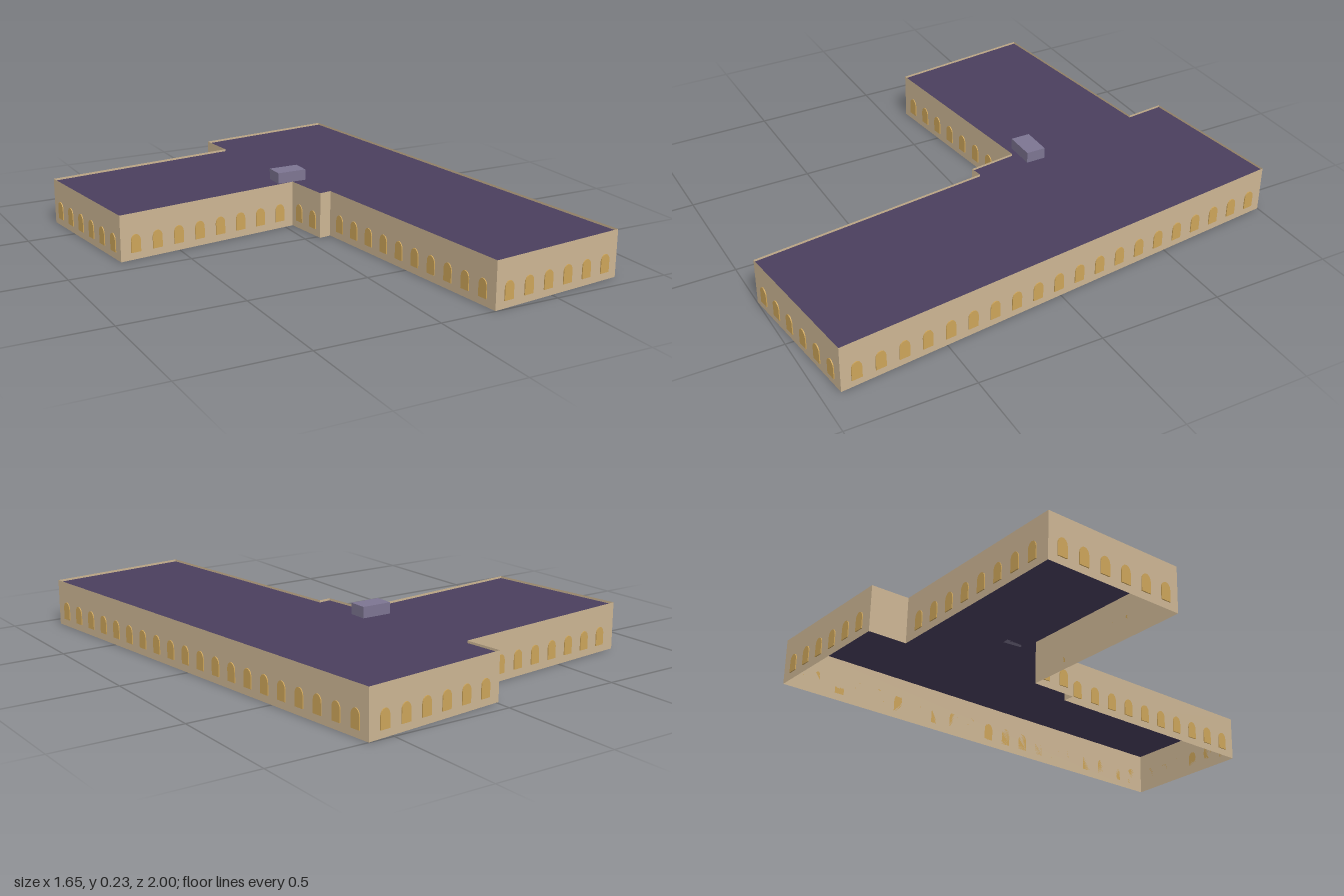
import * as THREE from 'three';

const WALL_H = 0.19, ROOF_Y = 0.181, PITCH = 0.0955;

// Footprint corners as [x, z], running clockwise seen from above
const FOOTPRINT = [
  [-0.011, -0.931], [0.603, -1.0], [0.823, 0.928], [0.228, 0.998], [0.111, 0.009],
  [0.061, 0.016], [0.037, -0.18], [-0.757, -0.088], [-0.823, -0.683], [0.004, -0.772],
];

function material(name, color, side = THREE.FrontSide) {
  const m = new THREE.MeshStandardMaterial({ color, side });
  m.name = name;
  return m;
}

// Arched window plate, built from the sill upwards
function windowGeometry() {
  const w = 0.021, sill = 0.03, spring = 0.078;
  const s = new THREE.Shape();
  s.moveTo(-w, sill);
  s.lineTo(w, sill);
  s.lineTo(w, spring);
  s.absellipse(0, spring, w, 0.026, 0, Math.PI, false);
  s.closePath();
  return new THREE.ExtrudeGeometry(s, { depth: 0.004, bevelEnabled: false, curveSegments: 4 });
}

export function createModel() {
  const model = new THREE.Group();
  model.name = 'building';
  const sand = material('sandstone', 0xcdb694, THREE.DoubleSide);
  const gold = material('goldenGlass', 0xcda55a);
  const slate = material('darkRoof', 0x4a3f5e, THREE.DoubleSide);
  const metal = material('roofUnit', 0x7d7592);
  const windowGeo = windowGeometry();

  // Walls: one open panel per footprint edge, with an evenly spaced row of windows
  FOOTPRINT.forEach(([px, pz], i) => {
    const [qx, qz] = FOOTPRINT[(i + 1) % FOOTPRINT.length];
    const length = Math.hypot(px - qx, pz - qz);
    const side = new THREE.Group();
    side.name = `side${i + 1}`;
    side.position.set((px + qx) / 2, 0, (pz + qz) / 2);
    side.rotation.y = Math.atan2(qz - pz, px - qx);

    const wall = new THREE.Mesh(new THREE.PlaneGeometry(length, WALL_H), sand);
    wall.name = 'wall';
    wall.position.y = WALL_H / 2;
    side.add(wall);

    const count = length < 0.18 ? 0 : Math.round((length - 0.126) / PITCH) + 1;
    for (let k = 0; k < count; k++) {
      const pane = new THREE.Mesh(windowGeo, gold);
      pane.name = 'window';
      pane.position.x = (k - (count - 1) / 2) * PITCH;
      side.add(pane);
    }
    model.add(side);
  });

  // Flat roof, set just below the top of the walls
  const outline = new THREE.Shape(FOOTPRINT.map(([x, z]) => new THREE.Vector2(x, -z)));
  const roof = new THREE.Mesh(new THREE.ShapeGeometry(outline).rotateX(-Math.PI / 2), slate);
  roof.name = 'roof';
  roof.position.y = ROOF_Y;
  model.add(roof);

  // Small plant box on the roof
  const boxTop = 0.226;
  const unit = new THREE.Mesh(new THREE.BoxGeometry(0.126, boxTop - ROOF_Y, 0.08), metal);
  unit.name = 'rooftopUnit';
  unit.position.set(0.048, (boxTop + ROOF_Y) / 2, -0.247);
  model.add(unit);

  return model;
}
